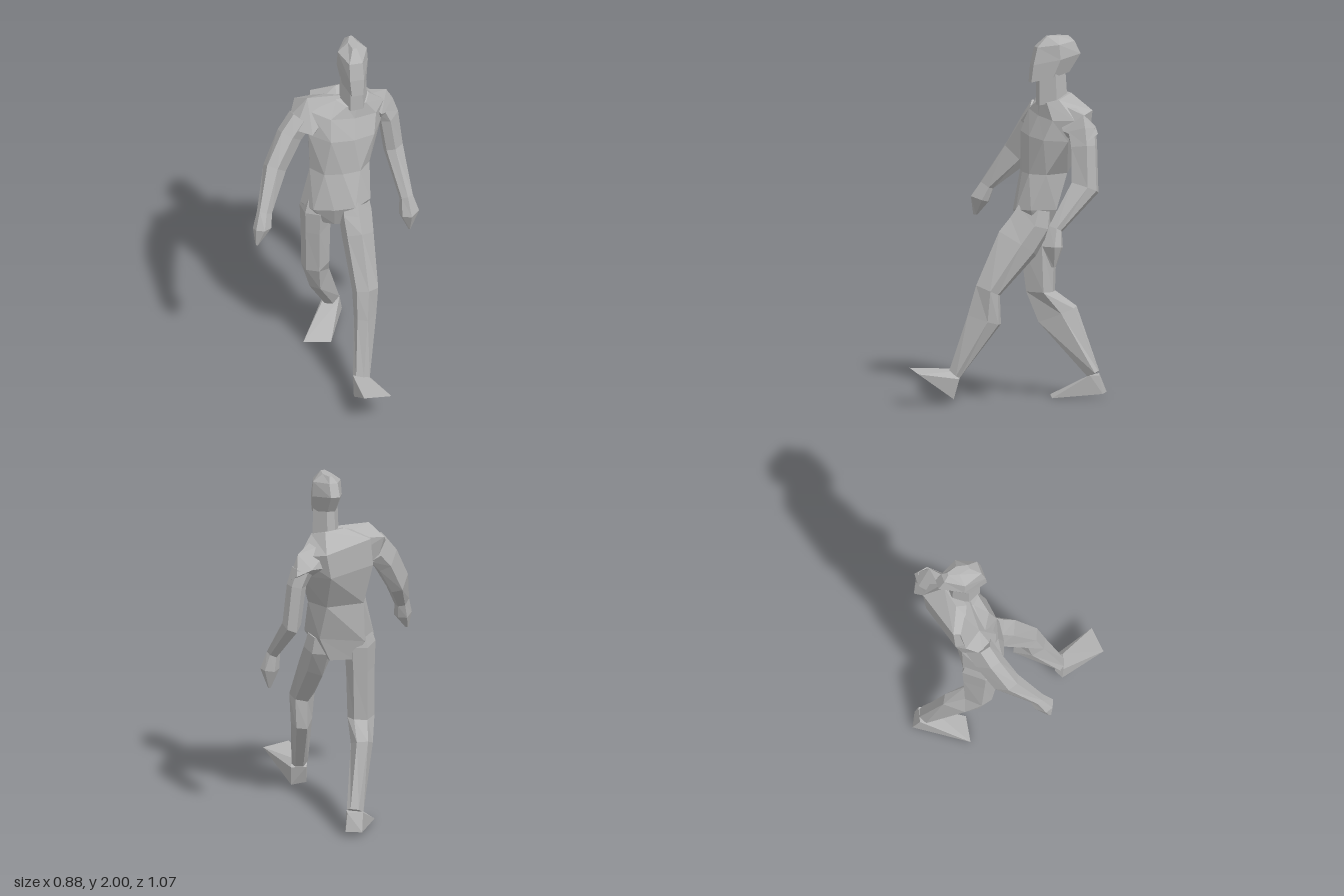
import * as THREE from 'three';
import { ConvexGeometry } from 'three/addons/geometries/ConvexGeometry.js';

// Cross-section outlines as [side, forward] in unit size
const LIMB = [[1, -0.2], [0.35, 1], [-0.6, 0.85], [-1, 0.1], [-0.35, -1], [0.6, -0.85]];
const TORSO = [[1, 0.2], [0.6, 0.92], [0, 1.05], [-0.6, 0.92], [-1, 0.2], [-0.65, -1], [0.65, -1]];
const HEAD = [[1, -0.05], [0.45, 1], [-0.45, 1], [-1, -0.05], [-0.3, -1], [0.3, -1]];

// Skins faceted rings listed from top to bottom.
// Section: [x, y, z, halfWidth, halfDepth, yaw, slopeX, slopeZ];
// without slopes the ring is square to the path of the limb.
function loft(outline, sections) {
  const rings = sections.map((s, i) => {
    const a = sections[Math.max(i - 1, 0)];
    const b = sections[Math.min(i + 1, sections.length - 1)];
    const dy = b[1] - a[1];
    const [x, y, z, w, d, yaw = 0, sx = -(b[0] - a[0]) / dy, sz = -(b[2] - a[2]) / dy] = s;
    return outline.map(([u, v]) => {
      const dx = u * w * Math.cos(yaw) + v * d * Math.sin(yaw);
      const dz = v * d * Math.cos(yaw) - u * w * Math.sin(yaw);
      return [x + dx, y + dx * sx + dz * sz, z + dz];
    });
  });
  const n = outline.length, pos = [];
  const tri = (...points) => points.forEach((p) => pos.push(...p));
  for (let r = 0; r < rings.length - 1; r++) {
    for (let i = 0; i < n; i++) {
      const j = (i + 1) % n, top = rings[r], low = rings[r + 1];
      tri(top[i], top[j], low[i]);
      tri(top[j], low[j], low[i]);
    }
  }
  const first = rings[0], last = rings[rings.length - 1];
  for (let i = 1; i < n - 1; i++) {
    tri(first[0], first[i + 1], first[i]);
    tri(last[0], last[i], last[i + 1]);
  }
  const geometry = new THREE.BufferGeometry();
  geometry.setAttribute('position', new THREE.Float32BufferAttribute(pos, 3));
  geometry.computeVertexNormals();
  return geometry;
}

const hull = (points) => new ConvexGeometry(points.map((p) => new THREE.Vector3(...p)));

export function createModel() {
  const model = new THREE.Group();
  model.name = 'walkingFigure';
  const grey = new THREE.MeshStandardMaterial({ color: 0xb4b4b4, flatShading: true });
  grey.name = 'plain grey';
  const add = (name, geometry) => {
    const mesh = new THREE.Mesh(geometry, grey);
    mesh.name = name;
    model.add(mesh);
  };

  // Head and neck
  add('head', loft(HEAD, [
    [0.075, 2.0, -0.27, 0.025, 0.06, 0.25, 0, 0],
    [0.075, 1.955, -0.255, 0.08, 0.105, 0.25, 0, -0.14],
    [0.075, 1.872, -0.26, 0.086, 0.133, 0.25, 0, -0.21],
    [0.085, 1.775, -0.225, 0.07, 0.107, 0.25, 0, -0.24],
  ]));
  add('neck', loft(HEAD, [
    [0.08, 1.81, -0.235, 0.072, 0.075, 0.3, 0, 0],
    [0.08, 1.64, -0.24, 0.078, 0.08, 0.3, 0, -0.2],
  ]));

  // Torso, twisting from shoulders to hips
  add('torso', loft(TORSO, [
    [0.07, 1.665, -0.25, 0.095, 0.075, 0.45, -0.15, -0.3],
    [0.03, 1.59, -0.28, 0.225, 0.125, 0.5, -0.2, -0.1],
    [0.02, 1.46, -0.25, 0.215, 0.145, 0.5, -0.1, 0],
    [0.005, 1.25, -0.19, 0.165, 0.11, 0.25, 0, 0],
    [-0.01, 1.04, -0.15, 0.19, 0.115, 0, 0.1, 0],
    [-0.01, 0.92, -0.16, 0.1, 0.085, 0, 0, 0],
  ]));

  // Shoulders spread from the neck and upper back to the arms
  add('leftShoulder', hull([
    [0.25, 1.59, -0.41], [0.18, 1.52, -0.475], [0.265, 1.49, -0.49], [0.305, 1.45, -0.43],
    [0.23, 1.5, -0.3], [0.21, 1.42, -0.35], [0.12, 1.65, -0.25], [0.03, 1.64, -0.33], [0.05, 1.5, -0.38],
  ]));
  add('rightShoulder', hull([
    [-0.165, 1.68, -0.18], [-0.24, 1.62, -0.26], [-0.26, 1.56, -0.17], [-0.225, 1.52, -0.1],
    [-0.13, 1.5, -0.085], [-0.2, 1.47, -0.24], [0.02, 1.68, -0.22], [0.02, 1.64, -0.33], [0, 1.5, -0.32],
  ]));

  // Left arm swings back, right arm swings forward
  const leftWrist = [0.365, 0.985, -0.26, 0.036, 0.035, 0, 0.3, 0.4];
  add('leftArm', loft(LIMB, [
    [0.225, 1.5, -0.405, 0.058, 0.075],
    [0.258, 1.42, -0.415, 0.054, 0.07],
    [0.285, 1.2, -0.42, 0.052, 0.072],
    leftWrist,
  ]));
  add('leftHand', loft(LIMB, [
    leftWrist,
    [0.382, 0.89, -0.245, 0.054, 0.055],
    [0.385, 0.78, -0.25, 0.008, 0.012],
  ]));
  const rightWrist = [-0.38, 1.12, 0.11, 0.04, 0.035, 0, -0.25, 0.5];
  add('rightArm', loft(LIMB, [
    [-0.2, 1.54, -0.19, 0.06, 0.07],
    [-0.26, 1.46, -0.14, 0.063, 0.07],
    [-0.335, 1.3, -0.05, 0.06, 0.065],
    rightWrist,
  ]));
  add('rightHand', loft(LIMB, [
    rightWrist,
    [-0.39, 1.04, 0.15, 0.05, 0.05, 0, 0, 0.3],
    [-0.415, 0.95, 0.175, 0.01, 0.012, 0, 0, 0],
  ]));

  // Left leg strides forward, right leg trails
  add('leftLeg', loft(LIMB, [
    [0.09, 1.06, -0.15, 0.075, 0.09, 0, 0, 0.2],
    [0.095, 0.98, -0.125, 0.09, 0.11, 0, 0, 0.3],
    [0.115, 0.87, -0.055, 0.085, 0.1],
    [0.165, 0.62, 0.105, 0.07, 0.064],
    [0.165, 0.46, 0.125, 0.06, 0.09, 0, 0, 0.3],
    [0.155, 0.16, 0.285, 0.045, 0.032],
  ]));
  add('rightLeg', loft(LIMB, [
    [-0.11, 1.07, -0.16, 0.07, 0.09, 0, 0, 0],
    [-0.117, 0.99, -0.16, 0.088, 0.11, 0, 0, 0],
    [-0.12, 0.85, -0.165, 0.08, 0.1, 0, 0, 0],
    [-0.122, 0.575, -0.178, 0.075, 0.078, 0, 0, 0],
    [-0.115, 0.45, -0.27, 0.062, 0.103, 0, 0, -0.4],
    [-0.055, 0.13, -0.465, 0.046, 0.03],
  ]));

  // Wedge feet: heel edge, toe edge and ankle
  add('leftFoot', hull([
    [0.115, 0.04, 0.3], [0.2, 0.03, 0.29], [0.185, 0.2, 0.53], [0.33, 0.185, 0.48],
    [0.11, 0.185, 0.305], [0.2, 0.18, 0.31], [0.205, 0.14, 0.26], [0.12, 0.14, 0.26],
  ]));
  add('rightFoot', hull([
    [-0.085, 0.03, -0.535], [0.003, 0.03, -0.515], [-0.19, 0, -0.23], [-0.04, 0, -0.24],
    [-0.1, 0.12, -0.445], [-0.01, 0.13, -0.445], [-0.01, 0.13, -0.495], [-0.095, 0.13, -0.495],
  ]));
  return model;
}
